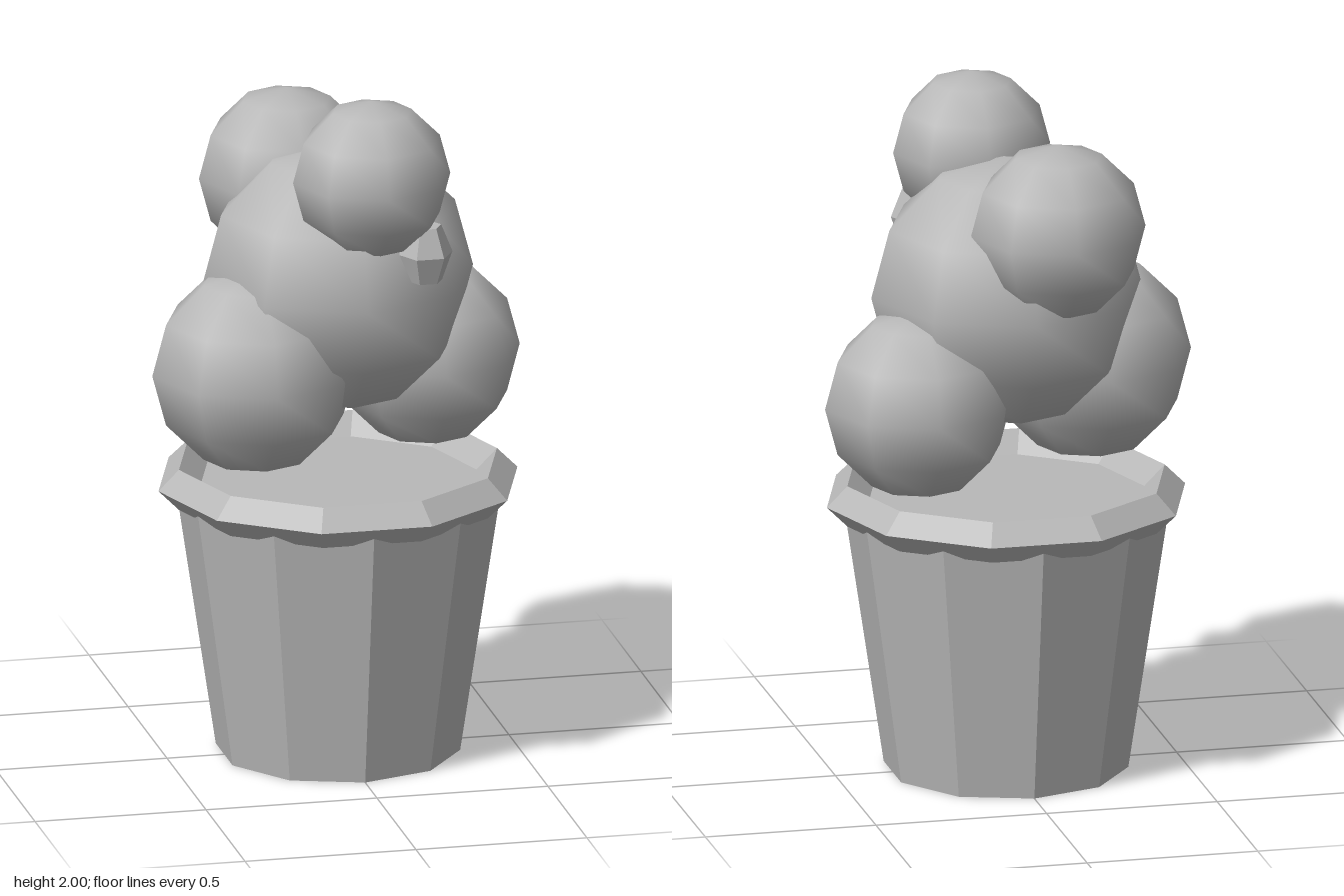
import * as THREE from 'three';

const grey = new THREE.MeshStandardMaterial({ color: 0xb8b8b8 });
grey.name = 'plain grey';

// Hard-edged copy of a geometry
function faceted(geometry) {
  const g = geometry.toNonIndexed();
  g.computeVertexNormals();
  return g;
}

function add(parent, name, geometry, x = 0, y = 0, z = 0) {
  const mesh = new THREE.Mesh(geometry, grey);
  mesh.name = name;
  mesh.position.set(x, y, z);
  parent.add(mesh);
  return mesh;
}

export function createModel() {
  const model = new THREE.Group();
  model.name = 'pottedBush';

  // Tapered ten-sided pot, filled up to the middle of the rim
  add(model, 'pot', faceted(new THREE.CylinderGeometry(0.47, 0.35, 0.8, 10)), 0, 0.4, 0);

  // Diamond-section rim
  const rim = new THREE.TorusGeometry(0.465, 0.06, 4, 10).rotateX(Math.PI / 2);
  add(model, 'rim', faceted(rim), 0, 0.8, 0);

  // Leaf balls: name, radius, centre
  const foliage = new THREE.Group();
  foliage.name = 'foliage';
  model.add(foliage);
  const balls = [
    ['middleFoliage', 0.395, 0, 1.415, 0],
    ['topFrontFoliage', 0.23, 0.045, 1.77, 0.235],
    ['topBackFoliage', 0.256, -0.097, 1.65, -0.235],
    ['lowerLeftFoliage', 0.275, 0.284, 1.13, -0.12],
    ['lowerRightFoliage', 0.3, -0.264, 1.175, 0.092],
  ];
  for (const [name, r, x, y, z] of balls) {
    add(foliage, name, new THREE.SphereGeometry(r, 8, 6), x, y, z);
  }

  // Small six-sided bud: two frusta meeting at the widest ring
  const bud = new THREE.Group();
  bud.name = 'bud';
  bud.position.set(0.185, 1.558, 0.306);
  model.add(bud);
  const half = (top, bottom) =>
    faceted(new THREE.CylinderGeometry(top, bottom, 0.082, 6).rotateY(Math.PI / 6));
  add(bud, 'budTop', half(0.047, 0.08), 0, 0.041, 0);
  add(bud, 'budBottom', half(0.08, 0.05), 0, -0.041, 0);

  return model;
}
